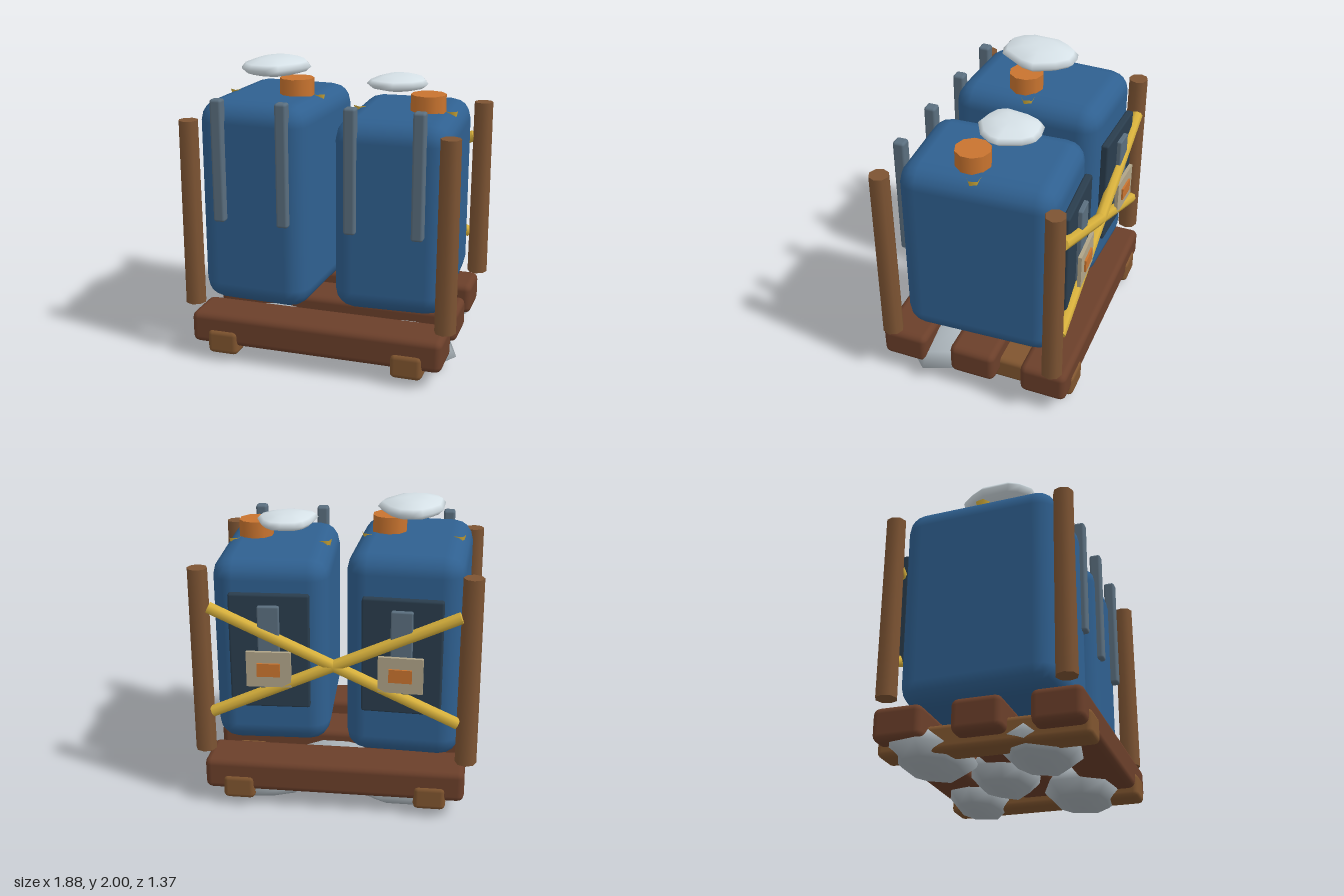
import * as THREE from 'three';
import { RoundedBoxGeometry } from 'three/addons/geometries/RoundedBoxGeometry.js';

const mat = (color, extra = {}) => new THREE.MeshStandardMaterial({ color, ...extra });
const M = {
  blue: mat(0x2f6090), navy: mat(0x2a3d4d), steel: mat(0x5a6e7e), darkWood: mat(0x6b3f2a),
  wood: mat(0x80552f), postWood: mat(0x7d5433), yellow: mat(0xd8b13c), orange: mat(0xc9742f),
  snow: mat(0xd5e0e6), stone: mat(0xa9b2b8), tag: mat(0xb0a488),
};

function add(parent, name, geometry, material, x = 0, y = 0, z = 0) {
  const mesh = new THREE.Mesh(geometry, material);
  mesh.name = name;
  mesh.position.set(x, y, z);
  parent.add(mesh);
  return mesh;
}

const rbox = (w, h, d, r, seg = 2) => new RoundedBoxGeometry(w, h, d, seg, r);

// Closed lump: an outline of [x, z] points, scaled about its middle at each [scale, y] layer
function lump(outline, layers) {
  const n = outline.length;
  const cx = outline.reduce((s, p) => s + p[0], 0) / n;
  const cz = outline.reduce((s, p) => s + p[1], 0) / n;
  const pos = [], index = [];
  for (const [s, y] of layers)
    for (const [x, z] of outline) pos.push(cx + (x - cx) * s, y, cz + (z - cz) * s);
  for (let i = 0; i < layers.length - 1; i++)
    for (let j = 0; j < n; j++) {
      const a = i * n + j, b = i * n + (j + 1) % n;
      index.push(a, a + n, b, b, a + n, b + n);
    }
  // close the ends with a centre point each
  const top = (layers.length - 1) * n, low = pos.length / 3;
  pos.push(cx, layers[0][1], cz, cx, layers[layers.length - 1][1], cz);
  for (let j = 0; j < n; j++) {
    const k = (j + 1) % n;
    index.push(low, j, k, low + 1, top + k, top + j);
  }
  const g = new THREE.BufferGeometry();
  g.setAttribute('position', new THREE.Float32BufferAttribute(pos, 3));
  g.setIndex(index);
  g.computeVertexNormals();
  return g;
}

// Round bar between two points
function bar(parent, name, a, b, r, sides, material) {
  const d = b.clone().sub(a);
  const m = add(parent, name, new THREE.CylinderGeometry(r, r, d.length(), sides), material);
  m.position.copy(a).add(b).multiplyScalar(0.5);
  m.quaternion.setFromUnitVectors(new THREE.Vector3(0, 1, 0), d.normalize());
}

function seeded(seed) {
  return () => (seed = (seed * 16807) % 2147483647) / 2147483647;
}

function buildTank(root, t) {
  const tank = new THREE.Group();
  tank.name = t.name;
  tank.position.set(t.x, 0, 0);
  tank.rotation.y = t.turn;
  root.add(tank);
  add(tank, 'tankBody', rbox(0.76, t.top - t.bottom, 1.05, 0.14), M.blue, 0, (t.top + t.bottom) / 2, 0);

  // Back panel with gauge strip and tag
  add(tank, 'backPanel', rbox(0.52, 0.78, 0.055, 0.015, 1), M.navy, 0, 1.1, -0.552);
  add(tank, 'gaugeStrip', rbox(0.14, 0.56, 0.04, 0.01, 1), M.steel, 0, 1.14, -0.59);
  add(tank, 'tag', new THREE.BoxGeometry(0.29, 0.24, 0.025), M.tag, 0, 1.0, -0.622);
  add(tank, 'tagPatch', new THREE.BoxGeometry(0.15, 0.09, 0.015), M.orange, 0, 1.0, -0.64);

  // Filler cap
  add(root, 'fillerCap', new THREE.CylinderGeometry(0.117, 0.117, 0.16, 10), M.orange,
    t.capX, t.top + 0.03, 0.065);

  // Small open cups at the two top edges
  for (const x of t.cups)
    add(root, 'strapCup', new THREE.CylinderGeometry(0.05, 0.03, 0.07, 5, 1, true), M.yellow,
      x, t.top - 0.04, 0.005);

  // Front rails
  for (const s of [-1, 1])
    add(root, 'frontRail', rbox(0.08, 0.83, 0.08, 0.018), M.steel, t.railX + s * 0.223, 1.375, 0.53);

  // Snow cap
  const [y0, y1] = t.snowY, h = y1 - y0;
  add(root, 'snowCap', lump(t.snow, [[0.5, y0], [0.85, y0 + h * 0.2], [1, y0 + h * 0.48],
    [0.88, y0 + h * 0.75], [0.5, y0 + h * 0.96], [0.2, y1]]), M.snow);
}

export function createModel() {
  const root = new THREE.Group();
  root.name = 'tankPallet';

  buildTank(root, {
    name: 'tallTank', x: -0.465, turn: -0.045, bottom: 0.36, top: 1.76, capX: -0.305,
    cups: [-0.765, -0.17], railX: -0.468, snowY: [1.88, 2.0],
    snow: [[-0.47, -0.235], [-0.38, -0.23], [-0.3, -0.15], [-0.225, 0.0], [-0.25, 0.1], [-0.365, 0.265],
      [-0.45, 0.29], [-0.565, 0.285], [-0.635, 0.225], [-0.67, 0.15], [-0.66, -0.05], [-0.6, -0.15], [-0.535, -0.22]],
  });
  buildTank(root, {
    name: 'shortTank', x: 0.44, turn: 0.045, bottom: 0.41, top: 1.7, capX: 0.605,
    cups: [0.13, 0.745], railX: 0.436, snowY: [1.8, 1.9],
    snow: [[0.38, -0.295], [0.455, -0.285], [0.515, -0.225], [0.57, -0.075], [0.56, -0.015], [0.505, 0.06],
      [0.375, 0.13], [0.28, 0.11], [0.205, 0.075], [0.17, 0.015], [0.195, -0.15], [0.23, -0.235], [0.28, -0.28]],
  });

  // Pallet: three cross beams on two runners
  for (const z of [0.515, 0.015, -0.495])
    add(root, 'palletBeam', rbox(1.735, 0.22, 0.325, 0.045), M.darkWood, -0.005, 0.225, z);
  for (const x of [-0.645, 0.632])
    add(root, 'palletRunner', rbox(0.215, 0.17, 1.365, 0.035), M.wood, x, 0.14, 0.012);

  // Corner posts
  for (const x of [-0.873, 0.865])
    for (const z of [0.585, -0.565])
      add(root, 'cornerPost', new THREE.CylinderGeometry(0.066, 0.071, 1.27, 8), M.postWood, x, 1.015, z);

  // Crossed braces at the back
  for (const s of [-1, 1])
    bar(root, 'backBrace', new THREE.Vector3(-0.81, 1.03 - s * 0.365, -0.59),
      new THREE.Vector3(0.8, 1.03 + s * 0.365, -0.59), 0.04, 8, M.yellow);

  // Flat stones under the pallet: x, z, half width, half depth
  const stones = [[0.53, 0.3, 0.36, 0.28], [0.5, -0.44, 0.33, 0.22], [0.04, -0.1, 0.36, 0.24],
    [-0.48, -0.42, 0.4, 0.27], [-0.4, 0.27, 0.4, 0.26]];
  stones.forEach(([x, z, w, d], i) => {
    const rnd = seeded(917 + i * 131);
    rnd();
    const outline = Array.from({ length: 9 }, (_, k) => {
      const a = (k + rnd() * 0.5) / 9 * Math.PI * 2, r = 0.9 + rnd() * 0.18;
      return [x + Math.cos(a) * w * r, z + Math.sin(a) * d * r];
    });
    add(root, 'stone', lump(outline, [[0.2, 0], [0.7, 0.035], [1, 0.11], [0.8, 0.2], [0.35, 0.26]]), M.stone);
  });

  return root;
}
